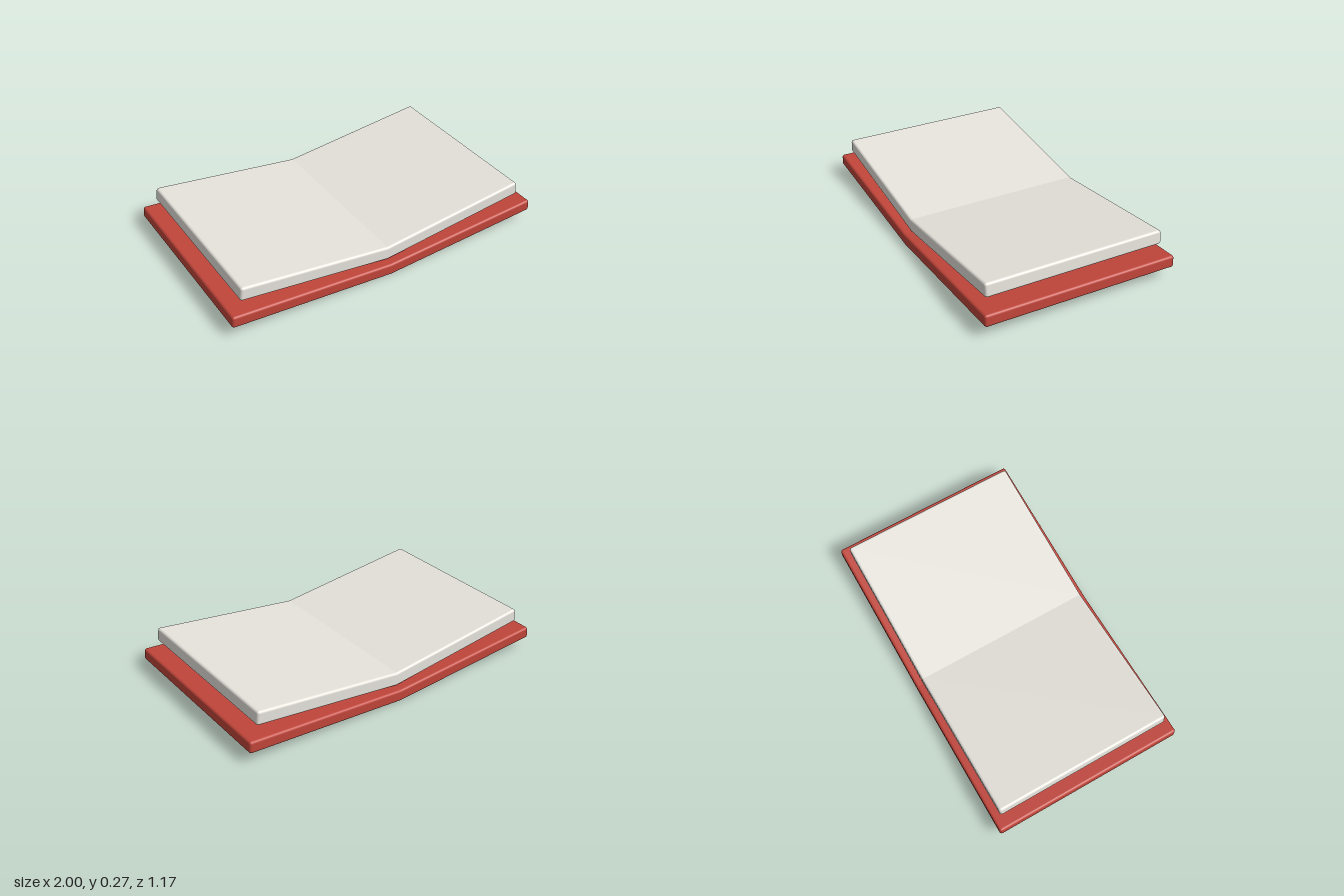
import * as THREE from 'three';
import { RoundedBoxGeometry } from 'three/addons/geometries/RoundedBoxGeometry.js';

// One half of a folded slab: a rounded box cut along the mitre plane, then tilted up.
function halfSlab(side, { length, thickness, depth, radius, angle }) {
  const geometry = new RoundedBoxGeometry(length * 2, thickness, depth, 5, radius);
  const p = geometry.attributes.position;
  for (let i = 0; i < p.count; i++) {
    // Pull the inner end onto the mitre at the fold
    if (p.getX(i) * side < 0) p.setX(i, p.getY(i) * Math.tan(side * angle));
  }
  geometry.rotateZ(side * angle);
  return geometry;
}

// Two mirrored halves meeting at the fold; base is the height of the lowest line.
function foldedSlab(name, color, base, size) {
  const group = new THREE.Group();
  group.name = name;
  const material = new THREE.MeshStandardMaterial({ color });
  for (const side of [1, -1]) {
    const mesh = new THREE.Mesh(halfSlab(side, size), material);
    mesh.name = (side > 0 ? 'left' : 'right') + name[0].toUpperCase() + name.slice(1);
    group.add(mesh);
  }
  group.position.y = base + size.thickness / 2 / Math.cos(size.angle);
  return group;
}

export function createModel() {
  const book = new THREE.Group();
  book.name = 'openBook';
  // Red cover boards
  book.add(foldedSlab('cover', 0xc0453a, 0,
    { length: 1, thickness: 0.071, depth: 1.168, radius: 0.015, angle: 0.07 }));
  // Page blocks, opened a little steeper than the cover
  book.add(foldedSlab('pages', 0xe6e3dc, 0.079,
    { length: 0.927, thickness: 0.083, depth: 1.084, radius: 0.015, angle: 0.12 }));
  return book;
}
